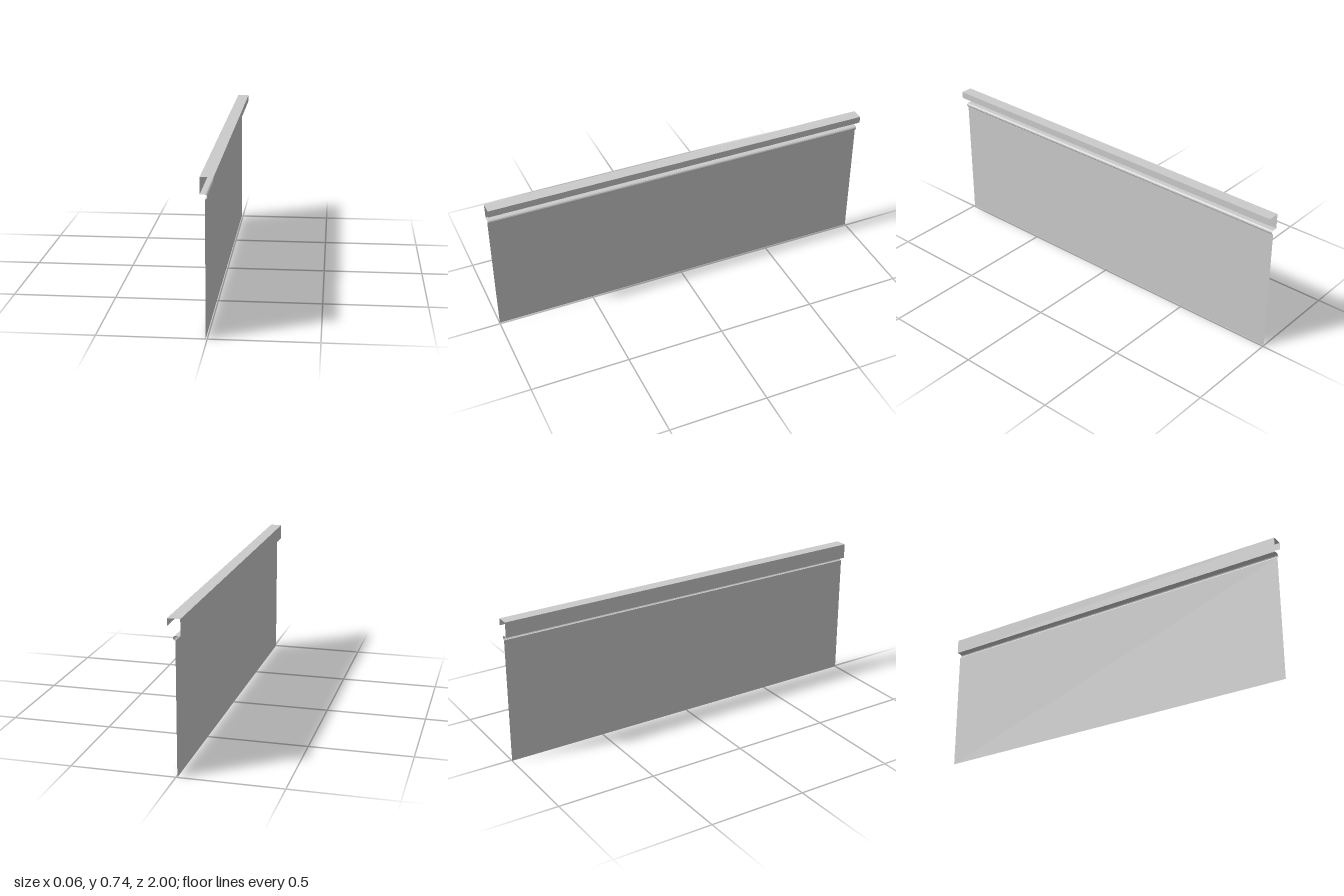
import * as THREE from 'three';

const LENGTH = 2;
const PANEL_X = -0.007;

// Thin folded sheet: an open [x, y] profile swept along z, with crisp folds
function sheet(name, profile, material) {
  const positions = [];
  const h = LENGTH / 2;
  for (let i = 0; i < profile.length - 1; i++) {
    const [ax, ay] = profile[i];
    const [bx, by] = profile[i + 1];
    positions.push(ax, ay, h, bx, by, h, bx, by, -h);
    positions.push(ax, ay, h, bx, by, -h, ax, ay, -h);
  }
  const geometry = new THREE.BufferGeometry();
  geometry.setAttribute('position', new THREE.Float32BufferAttribute(positions, 3));
  geometry.computeVertexNormals();
  const mesh = new THREE.Mesh(geometry, material);
  mesh.name = name;
  return mesh;
}

export function createModel() {
  const group = new THREE.Group();
  group.name = 'edgeTrim';
  const material = new THREE.MeshStandardMaterial({
    color: 0xcccccc, side: THREE.DoubleSide, flatShading: true,
  });

  // Hooked top rail: short outer lip, flat top and taller rear wall
  group.add(sheet('topChannel', [
    [0.03, 0.7], [0.03, 0.735], [-0.03, 0.735], [-0.03, 0.658],
  ], material));

  // Ledge running forward from the wall into a small rounded bead
  const bead = [[-0.03, 0.658]];
  const radius = 0.0105;
  for (let i = 0; i <= 6; i++) {
    const a = Math.PI / 2 - (i / 6) * Math.PI;
    bead.push([PANEL_X + radius * Math.cos(a), 0.6475 + radius * Math.sin(a)]);
  }
  group.add(sheet('foldedBead', bead, material));

  // Tall flat skirt hanging from the bead
  group.add(sheet('panel', [[PANEL_X, 0.637], [PANEL_X, 0]], material));

  return group;
}
